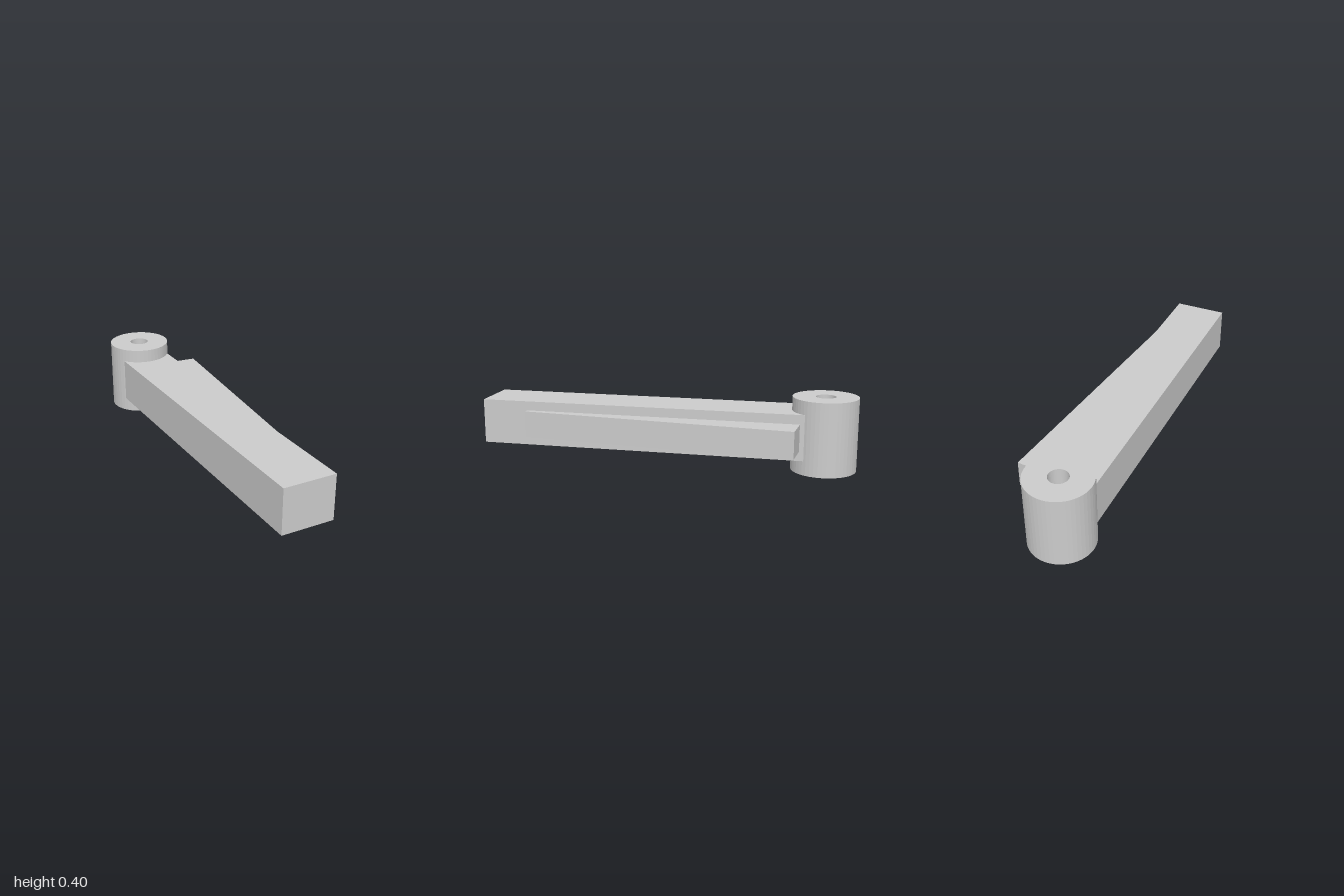
import * as THREE from 'three';

const material = new THREE.MeshStandardMaterial({ color: 0xcccccc });

// Extrude a plan outline (shape y = -z) upward from y0 to y1
function slab(name, shape, y0, y1) {
  const geometry = new THREE.ExtrudeGeometry(shape, {
    depth: y1 - y0, bevelEnabled: false, curveSegments: 24,
  });
  geometry.rotateX(-Math.PI / 2).translate(0, y0, 0);
  const mesh = new THREE.Mesh(geometry, material);
  mesh.name = name;
  return mesh;
}

// Closed outline from [x, z] corners
const outline = (corners) =>
  new THREE.Shape(corners.map(([x, z]) => new THREE.Vector2(x, -z)));

export function createModel() {
  const group = new THREE.Group();
  group.name = 'pivotArm';

  // Upright pivot sleeve with a through hole
  const ring = new THREE.Shape().absarc(0.33, 0.822, 0.178, 0, Math.PI * 2);
  ring.holes.push(new THREE.Path().absarc(0.33, 0.822, 0.054, 0, Math.PI * 2, true));
  group.add(slab('pivotSleeve', ring, 0, 0.404));

  // Main bar, ending inside the sleeve wall
  group.add(slab('arm', outline([
    [-0.566, 0.879], [-0.296, 0.996], [0.427, -0.675], [0.157, -0.792],
  ]), 0.078, 0.329));

  // Tapering side wedge, sunk into the bar's side
  group.add(slab('sideWedge', outline([
    [-0.192, 0.754], [-0.166, 0.768], [0.563, -0.57], [0.387, -0.666],
  ]), 0.129, 0.277));

  return group;
}
